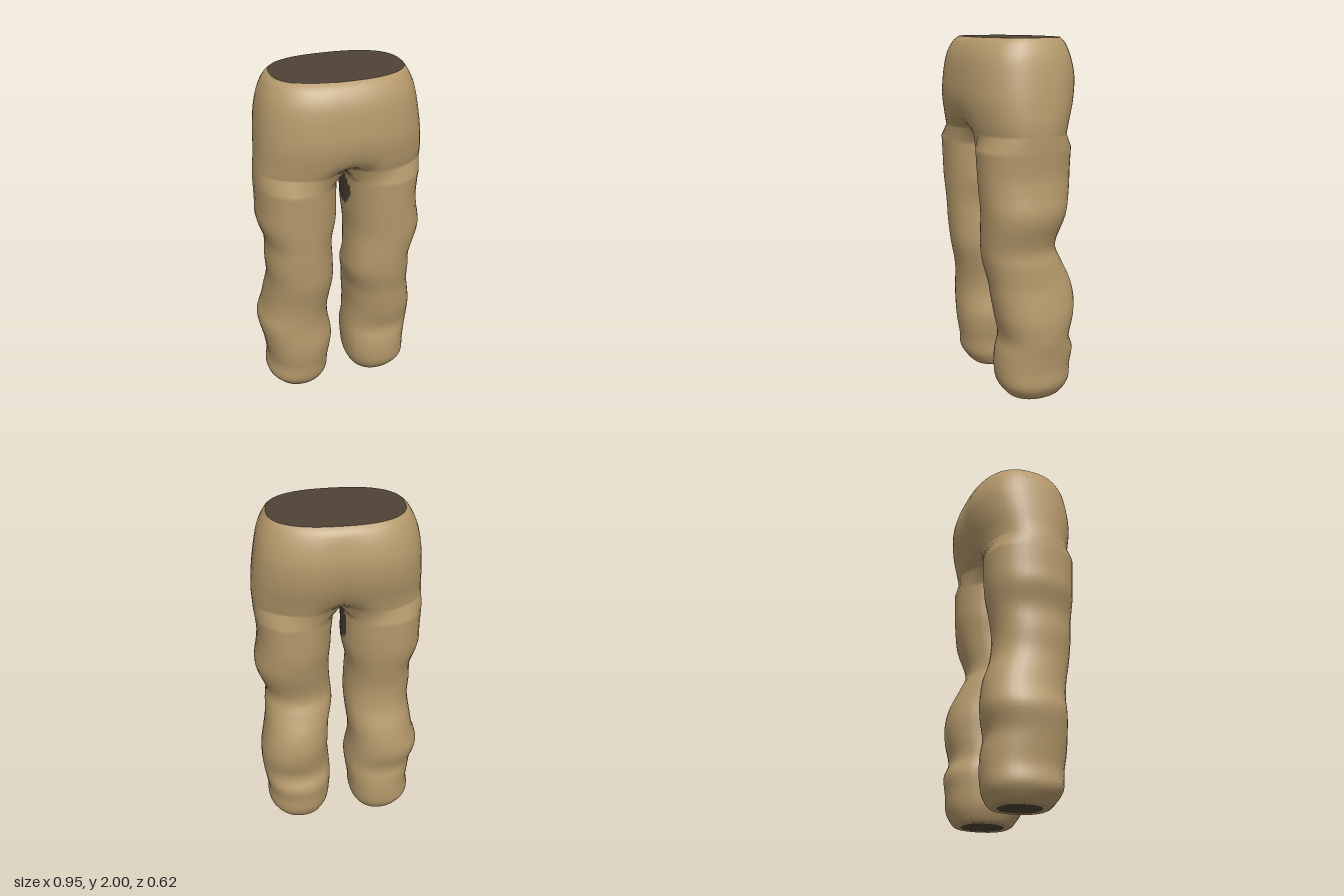
import * as THREE from 'three';

const HALF = 26;   // quads around one half of the waist
const INNER = 18;  // quads across the inside of a leg
const WRAP = THREE.MathUtils.degToRad(140);

// Cross-sections from top to bottom: y, x min, x max, z front, z back, front dent, back dent
const HIPS = [
  [2.0, -0.345, 0.36, 0.22, -0.235, 0, 0],
  [1.97, -0.375, 0.38, 0.255, -0.265, 0, 0],
  [1.9, -0.408, 0.41, 0.29, -0.295, 0, 0.01],
  [1.8, -0.43, 0.432, 0.308, -0.313, 0, 0.015],
  [1.68, -0.443, 0.45, 0.314, -0.3, 0, 0.02],
  [1.57, -0.45, 0.46, 0.297, -0.268, 0.02, 0.04],
  [1.5, -0.458, 0.459, 0.28, -0.25, 0.1, 0.1],
];
const LEFT_LEG = [
  [1.43, 0.02, 0.456, 0.275, -0.242],
  [1.3, 0.035, 0.446, 0.27, -0.238],
  [1.2, 0.04, 0.455, 0.265, -0.23],
  [1.07, 0.05, 0.47, 0.258, -0.205],
  [0.9, 0.042, 0.42, 0.25, -0.16],
  [0.8, 0.035, 0.428, 0.24, -0.195],
  [0.68, 0.06, 0.437, 0.215, -0.25],
  [0.58, 0.066, 0.455, 0.202, -0.27],
  [0.48, 0.07, 0.47, 0.185, -0.262],
  [0.36, 0.062, 0.468, 0.158, -0.235],
  [0.27, 0.057, 0.455, 0.175, -0.267],
  [0.18, 0.06, 0.445, 0.182, -0.258],
  [0.09, 0.07, 0.445, 0.172, -0.25],
  [0.03, 0.093, 0.413, 0.135, -0.225],
  [0, 0.115, 0.385, 0.105, -0.2],
  [0, 0.145, 0.36, 0.07, -0.165],
];
const RIGHT_LEG = [
  [1.43, -0.462, -0.02, 0.275, -0.242],
  [1.3, -0.46, -0.022, 0.27, -0.238],
  [1.19, -0.46, -0.024, 0.265, -0.228],
  [1.06, -0.422, -0.05, 0.258, -0.205],
  [0.93, -0.425, -0.045, 0.25, -0.186],
  [0.8, -0.418, -0.04, 0.238, -0.195],
  [0.68, -0.433, -0.05, 0.212, -0.235],
  [0.58, -0.45, -0.062, 0.198, -0.255],
  [0.48, -0.478, -0.058, 0.195, -0.258],
  [0.36, -0.455, -0.04, 0.2, -0.232],
  [0.27, -0.44, -0.047, 0.196, -0.245],
  [0.18, -0.43, -0.06, 0.182, -0.25],
  [0.09, -0.44, -0.066, 0.172, -0.245],
  [0.03, -0.405, -0.088, 0.135, -0.22],
  [0, -0.375, -0.115, 0.105, -0.195],
  [0, -0.35, -0.145, 0.07, -0.16],
];

// Smoothly adds rows between the given cross-sections
function refine(rows, steps) {
  const out = [];
  const at = (i) => rows[Math.min(Math.max(i, 0), rows.length - 1)];
  for (let i = 0; i < rows.length - 1; i++) {
    for (let s = 0; s < steps; s++) {
      const t = s / steps;
      out.push(at(i).map((p1, c) => {
        const p2 = at(i + 1)[c];
        const m1 = (p2 - at(i - 1)[c]) / 2, m2 = (at(i + 2)[c] - p1) / 2;
        const a = 2 * p1 - 2 * p2 + m1 + m2, b = 3 * (p2 - p1) - 2 * m1 - m2;
        const v = ((a * t + b) * t + m1) * t + p1;
        return c === 0 ? THREE.MathUtils.clamp(v, 0, 2) : v;
      }));
    }
  }
  out.push(rows[rows.length - 1]);
  return out;
}

// Point on a rounded-square outline, with optional dents on the centre line
function outline([y, x0, x1, zf, zb, dentF = 0, dentB = 0], angle, power) {
  const round = (v) => Math.sign(v) * Math.abs(v) ** (2 / power);
  const x = round(Math.cos(angle)) * (x1 - x0) / 2;
  const s = round(Math.sin(angle));
  const fall = Math.exp(-((x / 0.09) ** 2));
  const z = (zf + zb) / 2 + s * ((zf - zb) / 2 - fall * (s > 0 ? dentF : dentB));
  return [(x0 + x1) / 2 + x, y, z];
}

function createBody(materials) {
  const verts = [], cloth = [], lining = [];
  const add = (p) => verts.push(p) - 1;
  // Dark oval on the inside of each thigh
  const isLining = (ids) => {
    const mid = [0, 1, 2].map((c) => ids.reduce((sum, i) => sum + verts[i][c], 0) / ids.length);
    return Math.abs(mid[0]) < 0.09 && ((mid[1] - 1.34) / 0.12) ** 2 + ((mid[2] - 0.01) / 0.11) ** 2 < 1;
  };
  const bridge = (upper, lower) => {
    for (let j = 0; j < upper.length; j++) {
      const k = (j + 1) % upper.length;
      const target = isLining([upper[j], upper[k], lower[j], lower[k]]) ? lining : cloth;
      target.push(lower[j], upper[j], lower[k], lower[k], upper[j], upper[k]);
    }
  };

  // Hips
  let ring, waist;
  for (const row of refine(HIPS, 4)) {
    const next = Array.from({ length: HALF * 2 }, (_, j) => add(outline(row, j * Math.PI / HALF - Math.PI / 2, 2.5)));
    if (ring) bridge(ring, next);
    else waist = next;
    ring = next;
  }

  // Crotch seam, running front to back between the legs
  const front = verts[ring[HALF]], back = verts[ring[0]];
  const seam = [];
  for (let k = 1; k < INNER; k++) {
    const t = k / INNER;
    seam.push(add([0, 1.5 - 0.015 * Math.sin(Math.PI * t), THREE.MathUtils.lerp(front[2], back[2], t)]));
  }

  // Legs, each starting from one half of the hips plus the seam
  const hems = [[LEFT_LEG, 0, 0, seam], [RIGHT_LEG, Math.PI, HALF, [...seam].reverse()]].map(([rows, turn, start, arc]) => {
    let upper = Array.from({ length: HALF + 1 }, (_, j) => ring[(start + j) % (HALF * 2)]).concat(arc);
    for (const row of refine(rows, 4)) {
      const lower = upper.map((_, j) => {
        const angle = j <= HALF
          ? -WRAP + 2 * WRAP * j / HALF
          : WRAP + (2 * Math.PI - 2 * WRAP) * (j - HALF) / INNER;
        return add(outline(row, turn + angle, 2.25));
      });
      bridge(upper, lower);
      upper = lower;
    }
    return upper;
  });

  const geometry = new THREE.BufferGeometry();
  geometry.setAttribute('position', new THREE.Float32BufferAttribute(verts.flat(), 3));
  geometry.setIndex([...cloth, ...lining]);
  geometry.addGroup(0, cloth.length, 0);
  geometry.addGroup(cloth.length, lining.length, 1);
  geometry.computeVertexNormals();
  const points = (ids) => ids.map((i) => verts[i]);
  return { mesh: new THREE.Mesh(geometry, materials), waist: points(waist), hems: hems.map(points) };
}

// Flat fan closing a ring, facing up or down
function createCap(name, ring, up, material) {
  const n = ring.length;
  const centre = [0, 1, 2].map((c) => ring.reduce((sum, p) => sum + p[c], 0) / n);
  const index = [];
  for (let j = 0; j < n; j++) {
    const k = (j + 1) % n;
    index.push(n, up ? k : j, up ? j : k);
  }
  const geometry = new THREE.BufferGeometry();
  geometry.setAttribute('position', new THREE.Float32BufferAttribute([...ring, centre].flat(), 3));
  geometry.setIndex(index);
  geometry.computeVertexNormals();
  const mesh = new THREE.Mesh(geometry, material);
  mesh.name = name;
  return mesh;
}

export function createModel() {
  const tan = new THREE.MeshStandardMaterial({ color: 0xb5996b });
  tan.name = 'tan cloth';
  const dark = new THREE.MeshStandardMaterial({ color: 0x4f4337 });
  dark.name = 'dark lining';

  const model = new THREE.Group();
  model.name = 'trousers';
  const body = createBody([tan, dark]);
  body.mesh.name = 'trouserBody';
  model.add(
    body.mesh,
    createCap('waistOpening', body.waist, true, dark),
    createCap('leftHemOpening', body.hems[0], false, dark),
    createCap('rightHemOpening', body.hems[1], false, dark),
  );
  return model;
}
